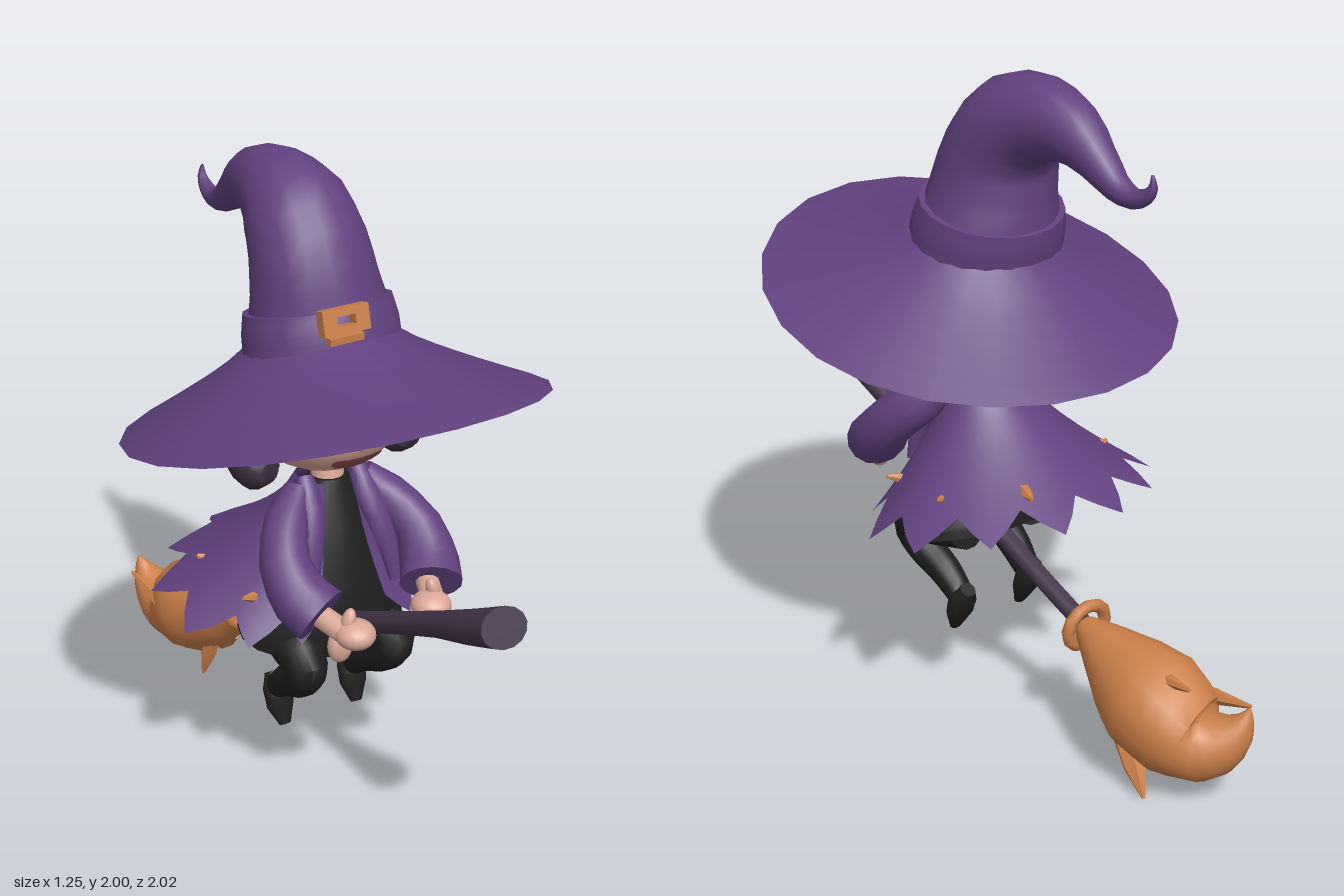
import * as THREE from 'three';
import { toCreasedNormals } from 'three/addons/utils/BufferGeometryUtils.js';

const mat = (name, color, side = THREE.FrontSide) => {
  const m = new THREE.MeshStandardMaterial({ color, side, roughness: 1 });
  m.name = name;
  return m;
};
const V = (x, y, z) => new THREE.Vector3(x, y, z);

function buildGeometry(pos, idx) {
  const g = new THREE.BufferGeometry();
  g.setAttribute('position', new THREE.Float32BufferAttribute(pos, 3));
  g.setIndex(idx);
  g.computeVertexNormals();
  return g;
}

// Tube with elliptical sections [x, y, z, sideRadius, otherRadius] along a smooth spine
function loft(sections, { segs = 14, steps = 2, ref = V(1, 0, 0) } = {}) {
  const spine = new THREE.CatmullRomCurve3(sections.map(s => V(s[0], s[1], s[2])));
  const n = (sections.length - 1) * steps, pos = [], idx = [];
  for (let i = 0; i <= n; i++) {
    const k = Math.min(Math.floor(i / steps), sections.length - 2), f = i / steps - k;
    const c = spine.getPoint(i / n), t = spine.getTangent(i / n);
    const side = ref.clone().addScaledVector(t, -t.dot(ref)).normalize();
    const up = t.clone().cross(side);
    const rad = s => [s[3], s[4] ?? s[3]];
    const [a0, b0] = rad(sections[k]), [a1, b1] = rad(sections[k + 1]);
    for (let j = 0; j < segs; j++) {
      const a = j / segs * Math.PI * 2;
      const p = c.clone().addScaledVector(side, Math.cos(a) * (a0 + (a1 - a0) * f))
        .addScaledVector(up, Math.sin(a) * (b0 + (b1 - b0) * f));
      pos.push(p.x, p.y, p.z);
    }
  }
  for (let i = 0; i < n; i++) for (let j = 0; j < segs; j++) {
    const a = i * segs + j, b = i * segs + (j + 1) % segs;
    idx.push(a, b, b + segs, a, b + segs, a + segs);
  }
  for (let j = 1; j < segs - 1; j++) {
    idx.push(0, j + 1, j, n * segs, n * segs + j, n * segs + j + 1);
  }
  return toCreasedNormals(buildGeometry(pos, idx), 0.95);
}

// Open sheet from a rule fn(column, row) -> [x, y, z]
function sheet(nu, nv, fn) {
  const pos = [], idx = [];
  for (let i = 0; i <= nv; i++) for (let j = 0; j <= nu; j++) pos.push(...fn(j, i));
  for (let i = 0; i < nv; i++) for (let j = 0; j < nu; j++) {
    const a = i * (nu + 1) + j, b = a + nu + 1;
    idx.push(a, b, b + 1, a, b + 1, a + 1);
  }
  return buildGeometry(pos, idx);
}

export function createModel() {
  const model = new THREE.Group();
  const purple = mat('purple cloth', 0x61417f, THREE.DoubleSide);
  const hair = mat('dark hair', 0x3c2f40, THREE.DoubleSide);
  const wood = mat('dark wood', 0x44364a);
  const orange = mat('orange straw', 0xcc7f49, THREE.DoubleSide);
  const black = mat('black cloth', 0x1e1f1e);
  const skin = mat('skin', 0xdba898);
  const eyeInk = mat('eye black', 0x19161a, THREE.DoubleSide);
  const lip = mat('mouth red', 0x8f4c4b, THREE.DoubleSide);
  const add = (name, geo, m) => {
    const mesh = new THREE.Mesh(geo, m);
    mesh.name = name;
    model.add(mesh);
    return mesh;
  };
  const ball = (name, m, p, s) => {
    const b = add(name, new THREE.SphereGeometry(1, 18, 12), m);
    b.position.set(...p);
    b.scale.set(...s);
    return b;
  };
  const spike = (name, from, to, r) => add(name, loft([
    [...from, r], [...from.map((v, i) => (v + to[i]) / 2), r * 0.8], [...to, 0.006]], { segs: 6 }), orange);

  // Hat: wide tilted brim, band, bent crown, buckle
  add('hatBrim', sheet(22, 6, (j, i) => {
    const a = j / 22 * Math.PI * 2, v = i / 6, r = 0.21 + 0.42 * v;
    return [r * Math.sin(a), 1.495 - 0.185 * v ** 0.8 + 0.25 * r * Math.cos(a) - 0.035 * v * Math.sin(a) ** 2,
      0.05 + 0.08 * v + 0.97 * r * Math.cos(a)];
  }), purple);
  add('hatBand', loft([[0, 1.475, 0.057, 0.238, 0.215], [0, 1.53, 0.044, 0.236, 0.213], [0, 1.585, 0.03, 0.225, 0.202]],
    { segs: 20 }), purple);
  add('hatCrown', loft([
    [0, 1.54, 0.04, 0.215, 0.195], [-0.01, 1.65, 0.03, 0.192, 0.175], [-0.015, 1.76, 0.0, 0.178, 0.158],
    [-0.015, 1.84, -0.07, 0.16, 0.15], [-0.015, 1.875, -0.18, 0.122, 0.125], [-0.015, 1.865, -0.3, 0.088, 0.095],
    [-0.015, 1.81, -0.4, 0.06, 0.062], [-0.015, 1.755, -0.48, 0.042, 0.042], [-0.015, 1.737, -0.55, 0.03, 0.03],
    [-0.015, 1.755, -0.6, 0.022, 0.022], [-0.015, 1.785, -0.625, 0.014, 0.014], [-0.015, 1.82, -0.622, 0.004, 0.004]],
  { segs: 18 }), purple);
  const frame = new THREE.Shape([[-0.075, -0.037], [0.075, -0.037], [0.075, 0.037], [-0.075, 0.037]]
    .map(p => new THREE.Vector2(...p)));
  frame.holes.push(new THREE.Path([[-0.03, -0.014], [-0.03, 0.014], [0.03, 0.014], [0.03, -0.014]]
    .map(p => new THREE.Vector2(...p))));
  const buckle = add('hatBuckle', new THREE.ExtrudeGeometry(frame, { depth: 0.035, bevelEnabled: false }), orange);
  buckle.position.set(-0.05, 1.615, 0.235);
  buckle.rotation.x = -0.25;
  const tongue = add('buckleTongue', new THREE.BoxGeometry(0.11, 0.02, 0.03), orange);
  tongue.position.set(-0.05, 1.568, 0.26);

  // Head with face plates that follow its curve
  const C = [0, 1.275, 0.08], R = [0.24, 0.175, 0.212];
  ball('head', skin, C, R);
  ball('nose', skin, [0, 1.235, 0.285], [0.022, 0.018, 0.02]);
  const facePatch = (name, m, cx, cy, w, h, topCut = 1) => add(name, sheet(16, 3, (j, i) => {
    const a = j / 16 * Math.PI * 2, v = i / 3;
    const x = cx + w * v * Math.cos(a), y = cy + h * v * Math.min(topCut, Math.sin(a));
    return [x, y, C[2] + 0.005 + R[2] * Math.sqrt(1 - (x / R[0]) ** 2 - ((y - C[1]) / R[1]) ** 2)];
  }), m);
  facePatch('mouth', lip, 0, 1.18, 0.085, 0.033, 0.4);
  for (const s of [1, -1]) {
    facePatch('eye', eyeInk, s * 0.097, 1.3, 0.027, 0.031);
    ball('ear', skin, [s * 0.258, 1.27, 0.1], [0.042, 0.05, 0.03]);
  }

  // Hair: back shell, rolled bob and jagged fringe
  ball('hairBack', hair, [0, 1.3, 0.01], [0.252, 0.21, 0.185]);
  const bob = [[0.235, 1.155, 0.155, 0.035], [0.245, 1.155, 0.11, 0.07], [0.222, 1.155, 0.0, 0.073], [0.13, 1.155, -0.075, 0.073]];
  add('hairBob', loft([...bob, [0, 1.155, -0.095, 0.073], ...bob.slice().reverse().map(([x, ...r]) => [-x, ...r])],
    { ref: V(0, 1, 0) }), hair);
  add('hairFringe', sheet(24, 4, (j, i) => {
    const t = j / 12 - 1, a = t * 1.5;
    const low = 0.62 - 0.65 * t ** 4 + (j % 3 ? 0.1 : -0.04), e = 1.45 + (low - 1.45) * i / 4;
    return [C[0] + 1.04 * R[0] * Math.cos(e) * Math.sin(a), C[1] + 1.04 * R[1] * Math.sin(e),
      C[2] + 1.04 * R[2] * Math.cos(e) * Math.cos(a)];
  }), hair);

  // Neck and dress
  add('neck', loft([[0, 1.03, 0.09, 0.055], [0, 1.14, 0.08, 0.045]]), skin);
  add('dress', loft([
    [0, 1.07, 0.09, 0.06, 0.055], [0, 0.99, 0.09, 0.1, 0.08], [0, 0.85, 0.09, 0.14, 0.125],
    [0, 0.72, 0.075, 0.2, 0.17], [0, 0.61, 0.06, 0.265, 0.19], [0, 0.565, 0.05, 0.275, 0.185]], { segs: 18 }), black);

  // Cape with a tattered hem, open at the front
  const cols = 48;
  add('cape', sheet(cols, 7, (j, i) => {
    const a = 0.6 + j / cols * (Math.PI * 2 - 1.2), b = (1 - Math.cos(a)) / 2;
    const reach = 0.18 + 0.35 * Math.min(1, b * 1.5), hem = 0.625 + 0.1 * Math.max(0, -Math.cos(a));
    const v = i / 7 * (1 - 0.1 * Math.abs((j % 4) - 2) * (i / 7) ** 2);
    const r = 0.09 + (reach - 0.09) * v ** 1.15;
    return [r * Math.sin(a), 1.07 - (1.07 - hem) * v ** 0.8, 0.08 + r * Math.cos(a)];
  }), purple);

  for (const s of [1, -1]) {
    // Collar, lapels and sleeves
    add('lapel', loft([[s * 0.09, 1.08, 0.1, 0.03, 0.03], [s * 0.1, 1.0, 0.16, 0.045, 0.03],
      [s * 0.13, 0.88, 0.21, 0.04, 0.025], [s * 0.15, 0.74, 0.235, 0.02, 0.015]], { segs: 10 }), purple);
    add('sleeve', loft([[s * 0.11, 1.05, 0.1, 0.04, 0.045], [s * 0.17, 0.98, 0.14, 0.065, 0.07],
      [s * 0.23, 0.89, 0.23, 0.075, 0.075], [s * 0.22, 0.81, 0.31, 0.09, 0.085],
      [s * 0.19, 0.775, 0.365, 0.095, 0.085]]), purple);
    // Hands: wrist, palm, thumb
    const y = s > 0 ? 0.76 : 0.74;
    add('wrist', loft([[s * 0.19, y + 0.03, 0.33, 0.035], [s * 0.15, y, 0.44, 0.035]], { segs: 10 }), skin);
    ball('hand', skin, [s * 0.13, y, 0.455], [0.06, 0.043, 0.062]);
    const thumb = ball('thumb', skin, [s * 0.145, y + 0.04, 0.44], [0.02, 0.04, 0.022]);
    thumb.rotation.z = s * 0.3;
    ball('fingers', skin, [s * 0.15, y - 0.055, 0.405], [0.04, 0.055, 0.03]);
    // Bent leg and pointed shoe
    add('leg', loft([[s * 0.13, 0.6, 0.0, 0.085], [s * 0.15, 0.56, 0.13, 0.075], [s * 0.155, 0.52, 0.225, 0.065],
      [s * 0.15, 0.46, 0.19, 0.058], [s * 0.14, 0.4, 0.09, 0.05], [s * 0.135, 0.35, 0.03, 0.042]], { steps: 3 }), black);
    add('shoe', loft([[s * 0.135, 0.375, -0.015, 0.025], [s * 0.135, 0.335, 0.012, 0.048, 0.038],
      [s * 0.133, 0.28, 0.03, 0.048, 0.03], [s * 0.13, 0.22, 0.055, 0.02, 0.012]], { segs: 10 }), black);
    // Leaf scraps on the cape
    spike('capeScrap', [s * 0.26, 0.74, 0.12], [s * 0.32, 0.76, 0.14], 0.018);
    spike('capeScrap', [s * 0.28, 0.76, -0.1], [s * 0.33, 0.785, -0.125], 0.022);
  }
  spike('capeScrap', [0.12, 0.8, -0.26], [0.14, 0.8, -0.32], 0.022);

  // Broom handle, binding and straw
  add('broomHandle', loft([[0, 0.985, 0.985, 0.075, 0.058], [0, 0.92, 0.85, 0.06, 0.05], [0, 0.845, 0.68, 0.042, 0.038],
    [0, 0.76, 0.5, 0.034, 0.034], [0, 0.62, 0.2, 0.031, 0.031], [0, 0.49, -0.1, 0.029, 0.029],
    [0, 0.365, -0.42, 0.028, 0.028]]), wood);
  add('broomStraw', loft([[0, 0.37, -0.4, 0.035], [0, 0.335, -0.5, 0.085], [-0.005, 0.29, -0.6, 0.135],
    [-0.005, 0.25, -0.7, 0.168], [-0.015, 0.205, -0.8, 0.155], [-0.04, 0.18, -0.88, 0.115],
    [-0.07, 0.22, -0.945, 0.075], [-0.09, 0.275, -0.98, 0.035], [-0.1, 0.32, -0.992, 0.006]]), orange);
  const binding = add('broomBinding', new THREE.TorusGeometry(0.06, 0.018, 8, 12), orange);
  binding.position.set(0, 0.375, -0.41);
  binding.scale.set(1.2, 1.1, 1);
  binding.rotation.x = -0.1;
  spike('strawTuft', [-0.03, 0.17, -0.6], [-0.05, 0.02, -0.635], 0.032);
  spike('strawTuft', [0.06, 0.14, -0.66], [0.1, 0.0, -0.78], 0.045);
  spike('strawTuft', [0.02, 0.36, -0.72], [0.03, 0.38, -0.88], 0.025);
  spike('strawTuft', [-0.13, 0.24, -0.68], [-0.15, 0.29, -0.95], 0.03);
  return model;
}
